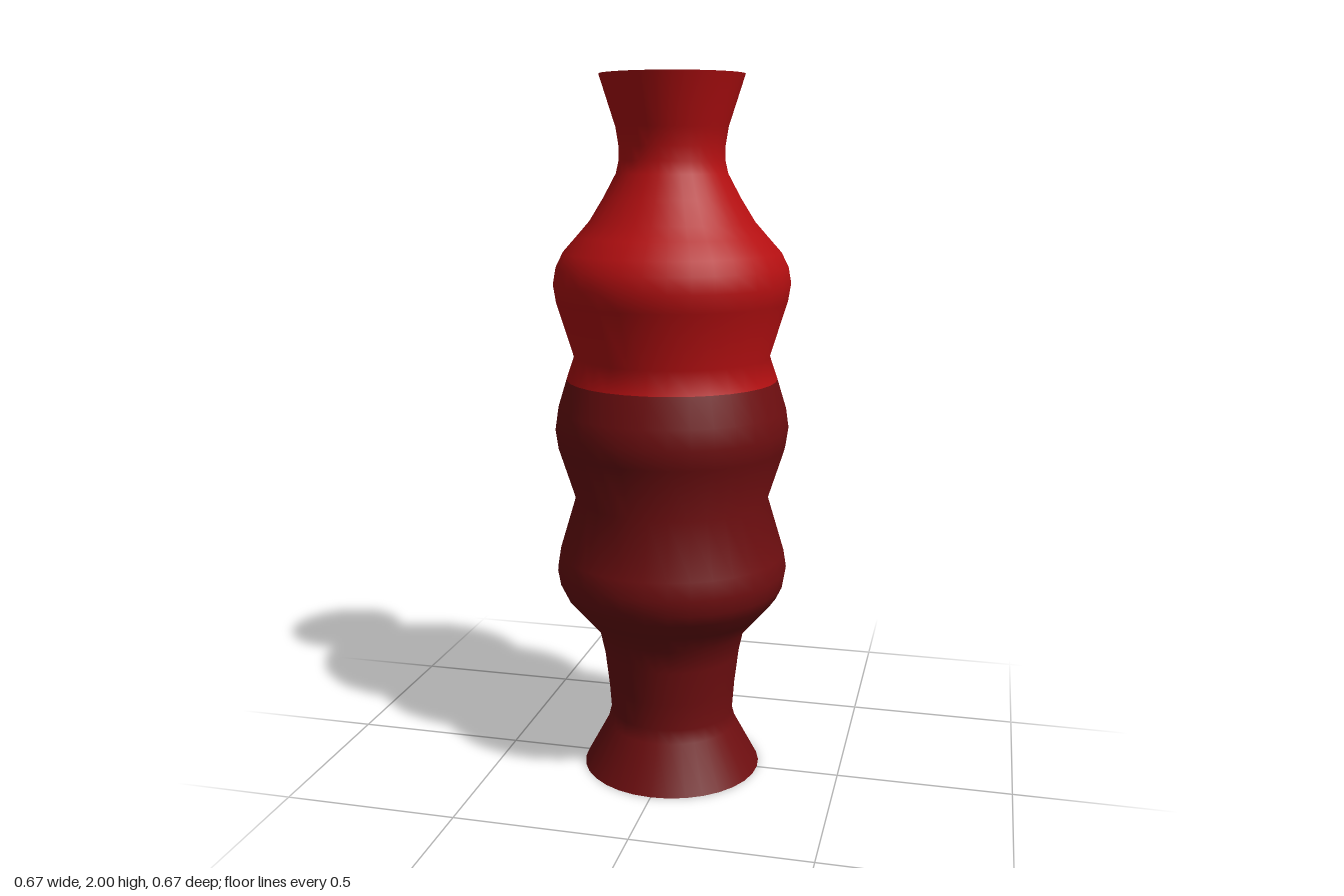
import * as THREE from 'three';

const SIDES = 32;

export function createModel() {
  const vase = new THREE.Group();
  vase.name = 'vase';

  const brightRed = new THREE.MeshStandardMaterial({ name: 'brightRed', color: 0xb40f11 });
  const darkRed = new THREE.MeshStandardMaterial({ name: 'darkRed', color: 0x6e0e10 });

  // Revolve a profile of [radius, height] points around the y axis
  const turn = (name, material, profile) => {
    const points = profile.map(([r, y]) => new THREE.Vector2(r, y));
    const mesh = new THREE.Mesh(new THREE.LatheGeometry(points, SIDES), material);
    mesh.name = name;
    vase.add(mesh);
  };

  // Hollow under the flared foot
  turn('footHollow', darkRed, [
    [0, 0.28], [0.07, 0.265], [0.13, 0.21], [0.17, 0.15], [0.26, 0],
  ]);

  // Foot, stem and the two lower bulges
  turn('lowerBody', darkRed, [
    [0.26, 0], [0.19, 0.13], [0.18, 0.17], [0.186, 0.25], [0.198, 0.35], [0.213, 0.42],
    [0.265, 0.48], [0.308, 0.53], [0.325, 0.565], [0.333, 0.61], [0.325, 0.66],
    [0.277, 0.82],
    [0.325, 0.97], [0.333, 1.025], [0.325, 1.08], [0.299, 1.165],
  ]);

  // Top bulge, shoulder and flared neck
  turn('upperBody', brightRed, [
    [0.299, 1.165], [0.277, 1.23],
    [0.325, 1.385], [0.333, 1.435], [0.325, 1.48], [0.305, 1.52], [0.265, 1.565],
    [0.23, 1.605], [0.19, 1.67], [0.155, 1.735], [0.147, 1.77], [0.147, 1.81],
    [0.155, 1.86], [0.2, 2],
  ]);

  // Flat lip
  turn('lip', brightRed, [[0.2, 2], [0.175, 2]]);

  // Bowl inside the mouth
  turn('mouthBowl', brightRed, [
    [0.175, 2], [0.155, 1.93], [0.13, 1.87], [0.09, 1.82], [0.045, 1.79], [0, 1.78],
  ]);

  return vase;
}
